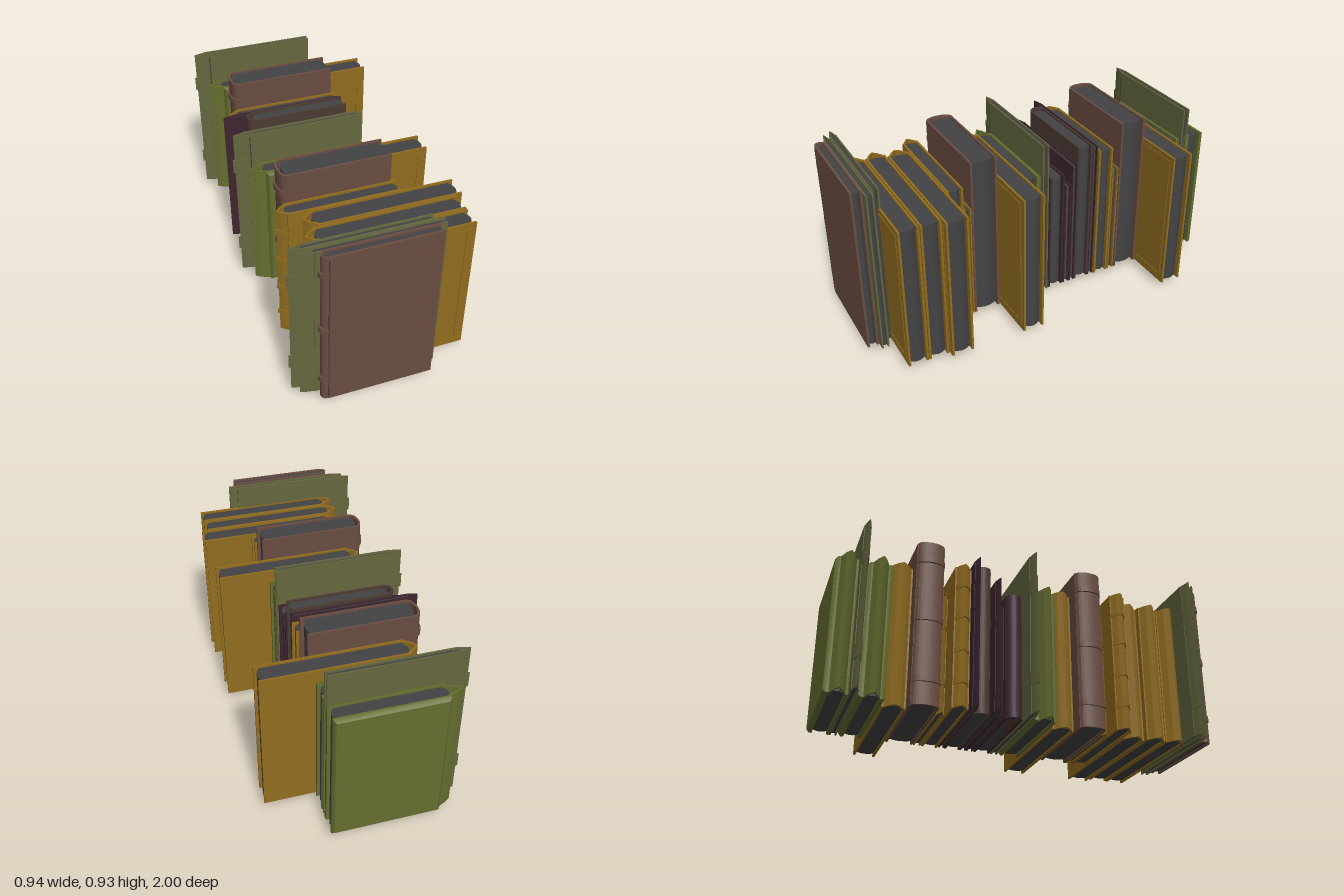
import * as THREE from 'three';

const BASE = 0.045; // underside of every cover

const mat = (name, color) => {
  const m = new THREE.MeshStandardMaterial({ color });
  m.name = name;
  return m;
};

// Extrudes an outline given in (x, z) upward from y0 to y1
function extrudeUp(points, y0, y1) {
  const shape = new THREE.Shape(points.map(([x, z]) => new THREE.Vector2(x, -z)));
  const geo = new THREE.ExtrudeGeometry(shape, { depth: y1 - y0, bevelEnabled: false });
  geo.rotateX(-Math.PI / 2);
  geo.translate(0, y0, 0);
  return geo;
}

// Hollow spine section: a rounded bow or a pointed fold, from the hinge to the tip
function spineOutline(hinge, tip, half, round, wall) {
  const n = round ? 12 : 4;
  const outer = [], inner = [];
  for (let i = 0; i <= n; i++) {
    const t = -1 + (2 * i) / n;
    const bow = round ? Math.sqrt(1 - t * t * 0.999) : 1 - Math.abs(t) ** 1.4;
    const x = hinge - (hinge - tip) * bow;
    outer.push([x, half * t]);
    inner.unshift([x + wall, (half - wall * 0.6) * t]);
  }
  return outer.concat(inner);
}

// Paper block with bulging fore edge and back
function pageOutline(x0, x1, half, bulge) {
  const pts = [];
  for (let i = 0; i <= 8; i++) {
    const t = -1 + i / 4;
    pts.push([x1 - bulge * t * t, half * t]);
  }
  for (let i = 8; i >= 0; i--) {
    const t = -1 + i / 4;
    pts.push([x0 + bulge * t * t, half * t]);
  }
  return pts;
}

export function createModel() {
  const paper = mat('paper', 0x434345);
  const olive = mat('olive', 0x666e30);
  const moss = mat('moss', 0x65673f);
  const ochre = mat('ochre', 0x916c1f);
  const brown = mat('brown', 0x6a4d42);
  const plum = mat('plum', 0x3f2630);
  const umber = mat('umber', 0x4c3a33);
  const groove = mat('groove', 0x40403c);
  const ribbonRed = mat('ribbon', 0x4e1d10);

  // Kinds of book: depth along z, top, hinge, fore edge and spine tip
  const kinds = {
    padded: { m: olive, d: 0.128, top: 0.76, hinge: -0.335, fore: 0.21, tip: -0.41, board: 0.028, spineHalf: 0.04, padded: true },
    tall: { m: moss, d: 0.036, top: 0.92, hinge: -0.4, fore: 0.21, tip: -0.46, bands: [0.23, 0.735], bandH: 0.08, line: true },
    tallWide: { m: moss, d: 0.038, top: 0.92, hinge: -0.36, fore: 0.25, tip: -0.43 },
    wide: { m: ochre, d: 0.115, top: 0.815, hinge: -0.25, fore: 0.468, tip: -0.3, frame: true },
    broad: { m: ochre, d: 0.104, top: 0.815, hinge: -0.275, fore: 0.436, tip: -0.33, frame: true },
    thick: { m: brown, d: 0.142, top: 0.93, hinge: -0.315, fore: 0.21, tip: -0.345, round: true, bands: [0.175, 0.5, 0.825], bandH: 0.03 },
    slab: { m: brown, d: 0.058, top: 0.93, hinge: -0.315, fore: 0.21, tip: -0.345, round: true, bands: [0.175, 0.5, 0.825], bandH: 0.03, line: true },
    small: { m: ochre, d: 0.038, top: 0.68, hinge: -0.245, fore: 0.21, tip: -0.28, bands: [0.2, 0.5], bandH: 0.025 },
    banded: { m: ochre, d: 0.084, top: 0.81, hinge: -0.35, fore: 0.213, tip: -0.395, bands: [0.17, 0.34, 0.52, 0.69], bandH: 0.022 },
    plumTall: { m: plum, d: 0.03, top: 0.84, hinge: -0.39, fore: 0.205, tip: -0.44 },
    umberTall: { m: umber, d: 0.086, top: 0.855, hinge: -0.29, fore: 0.205, tip: -0.33, round: true },
    plumMid: { m: plum, d: 0.03, top: 0.76, hinge: -0.365, fore: 0.205, tip: -0.41 },
    plumLow: { m: plum, d: 0.036, top: 0.65, hinge: -0.295, fore: 0.205, tip: -0.335 },
    plumThick: { m: plum, d: 0.088, top: 0.72, hinge: -0.295, fore: 0.205, tip: -0.335, round: true },
  };

  function createBook(k, name) {
    const book = new THREE.Group();
    book.name = name;
    const add = (part, geo, material) => {
      const mesh = new THREE.Mesh(geo, material);
      mesh.name = part;
      book.add(mesh);
      return mesh;
    };
    const half = k.d / 2;
    const board = k.board ?? Math.min(0.011, k.d * 0.2);
    const height = k.top - BASE;
    const midY = BASE + height / 2;
    const width = k.fore - k.hinge;
    const midX = (k.fore + k.hinge) / 2;

    // Paper
    const bulge = Math.min(0.02, half * 0.35);
    add('pages', extrudeUp(pageOutline(k.hinge - 0.005, k.fore - 0.007, half - board, bulge), BASE + 0.01, k.top - 0.01), paper);

    // Boards; padded ones taper toward their outer face
    for (const side of [1, -1]) {
      const geo = new THREE.BoxGeometry(width, height, board, 1, 1, 2);
      if (k.padded) {
        const p = geo.attributes.position;
        for (let i = 0; i < p.count; i++) {
          if (p.getZ(i) * side > 0.001) {
            p.setX(i, p.getX(i) * 0.955);
            p.setY(i, p.getY(i) * 0.965);
          }
        }
        geo.computeVertexNormals();
      }
      add(side > 0 ? 'frontCover' : 'backCover', geo, k.m).position.set(midX, midY, side * (half - board / 2));
    }

    // Spine and its raised bands
    const spineHalf = k.spineHalf ?? half * (k.round ? 1 : 0.9);
    const wall = Math.min(0.012, half * 0.4);
    add('spine', extrudeUp(spineOutline(k.hinge + 0.004, k.tip, spineHalf, k.round, wall), BASE, k.top), k.m);
    for (const y of k.bands ?? []) {
      const outline = spineOutline(k.hinge, k.tip - 0.01, spineHalf + 0.002, k.round, wall);
      add('spineBand', extrudeUp(outline, y - k.bandH / 2, y + k.bandH / 2), k.m);
    }

    // Hinge groove line on the front
    if (k.line) {
      add('hingeLine', new THREE.BoxGeometry(0.006, height - 0.03, 0.002), groove)
        .position.set(k.hinge + (k.round ? 0.002 : 0.02), midY, half);
    }

    // Tooled border on the front cover
    if (k.frame) {
      const rect = (C, m) => new C([[-1, -1], [1, -1], [1, 1], [-1, 1]].map(
        ([sx, sy]) => new THREE.Vector2(sx * (width / 2 - m), sy * (height / 2 - m))));
      const shape = rect(THREE.Shape, 0.026);
      shape.holes.push(rect(THREE.Path, 0.046));
      add('coverBorder', new THREE.ExtrudeGeometry(shape, { depth: 0.003, bevelEnabled: false }), k.m)
        .position.set(midX, midY, half);
    }
    return book;
  }

  // Order along the shelf, by centre z
  const row = [
    ['padded', -0.936], ['tall', -0.867], ['padded', -0.778], ['wide', -0.657],
    ['thick', -0.525], ['small', -0.43], ['banded', -0.363], ['plumTall', -0.3],
    ['umberTall', -0.241], ['plumMid', -0.182], ['plumLow', -0.145], ['plumThick', -0.077],
    ['tall', -0.007], ['padded', 0.08], ['wide', 0.203], ['thick', 0.338],
    ['small', 0.43], ['banded', 0.493], ['wide', 0.598], ['broad', 0.712],
    ['broad', 0.82], ['tall', 0.88], ['tallWide', 0.92], ['slab', 0.97],
  ];
  const model = new THREE.Group();
  model.name = 'bookRow';
  row.forEach(([kind, z], i) => {
    const book = createBook(kinds[kind], `${kind}Book${i + 1}`);
    book.position.z = z;
    model.add(book);
  });

  // Ribbon markers hanging below and peeping out on top
  for (const [x, z] of [[-0.27, -0.075], [-0.22, -0.075]]) {
    const curl = [[0, 0.06], [-0.004, 0.035], [-0.013, 0.015], [-0.018, 0]];
    const geo = new THREE.PlaneGeometry(0.025, 1, 1, 3);
    const p = geo.attributes.position;
    for (let i = 0; i < p.count; i++) {
      const [dx, y] = curl[Math.floor(i / 2)];
      p.setXYZ(i, p.getX(i) + x + dx, y, z + dx * 0.5);
    }
    geo.computeVertexNormals();
    const ribbon = new THREE.Mesh(geo, ribbonRed);
    ribbon.name = 'ribbon';
    model.add(ribbon);
  }
  ribbonRed.side = THREE.DoubleSide;
  for (const [z, top] of [[-0.43, 0.7], [0.43, 0.7], [-0.065, 0.74]]) {
    const tab = new THREE.Mesh(new THREE.BoxGeometry(0.025, 0.06, 0.003), ribbonRed);
    tab.name = 'ribbonTop';
    tab.position.set(-0.25, top - 0.03, z);
    model.add(tab);
  }
  return model;
}
